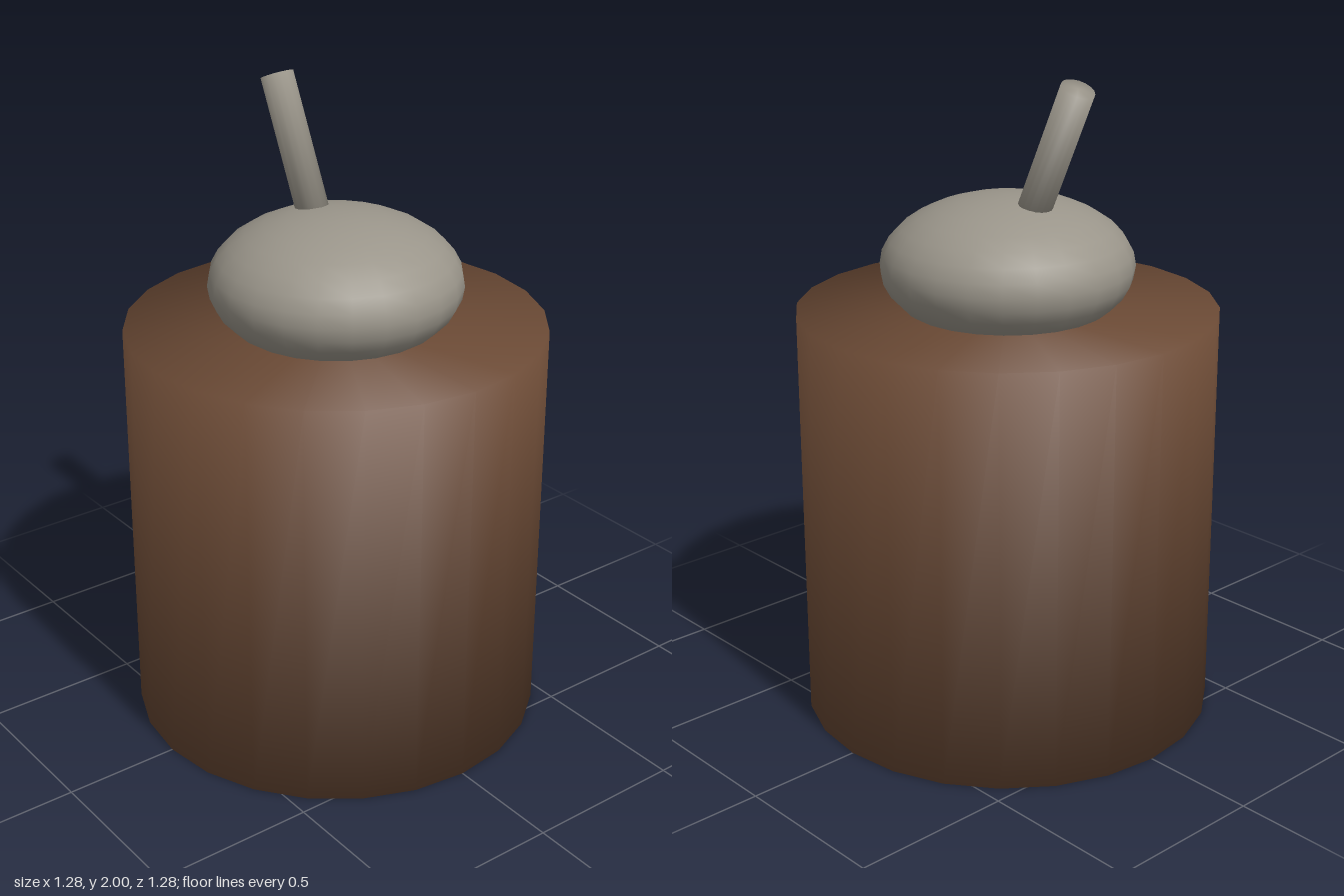
import * as THREE from 'three';

const brown = new THREE.MeshStandardMaterial({ color: 0x6b4a35 });
const stone = new THREE.MeshStandardMaterial({ color: 0x9a958a });

// Cylinder whose shading runs smoothly from the wall over the rim into the caps
function softCylinder(radius, height, sides) {
  const geometry = new THREE.CylinderGeometry(radius, radius, height, sides);
  const { position, normal } = geometry.attributes;
  for (let i = 0; i < position.count; i++) {
    normal.setXYZ(
      i,
      (position.getX(i) / radius) * Math.SQRT1_2,
      Math.sign(position.getY(i)) * Math.SQRT1_2,
      (position.getZ(i) / radius) * Math.SQRT1_2
    );
  }
  return geometry;
}

function addPart(group, name, geometry, material, x, y) {
  const mesh = new THREE.Mesh(geometry, material);
  mesh.name = name;
  mesh.position.set(x, y, 0);
  group.add(mesh);
  return mesh;
}

export function createModel() {
  const group = new THREE.Group();
  group.name = 'stumpWithKnob';

  // Wide round base
  addPart(group, 'base', softCylinder(0.64, 1.286, 24), brown, 0, 0.643);

  // Flattened ball, sunk slightly into the base
  const ball = addPart(group, 'flattenedBall', new THREE.SphereGeometry(1, 24, 16), stone, 0, 1.415);
  ball.scale.set(0.385, 0.214, 0.385);

  // Handle leaning to -x, its foot buried in the ball
  const tilt = THREE.MathUtils.degToRad(25);
  const length = 0.45;
  const handle = addPart(
    group, 'handle', softCylinder(0.051, length, 16), stone,
    -0.29 + (Math.sin(tilt) * length) / 2,
    1.979 - (Math.cos(tilt) * length) / 2
  );
  handle.rotation.z = tilt;

  return group;
}
